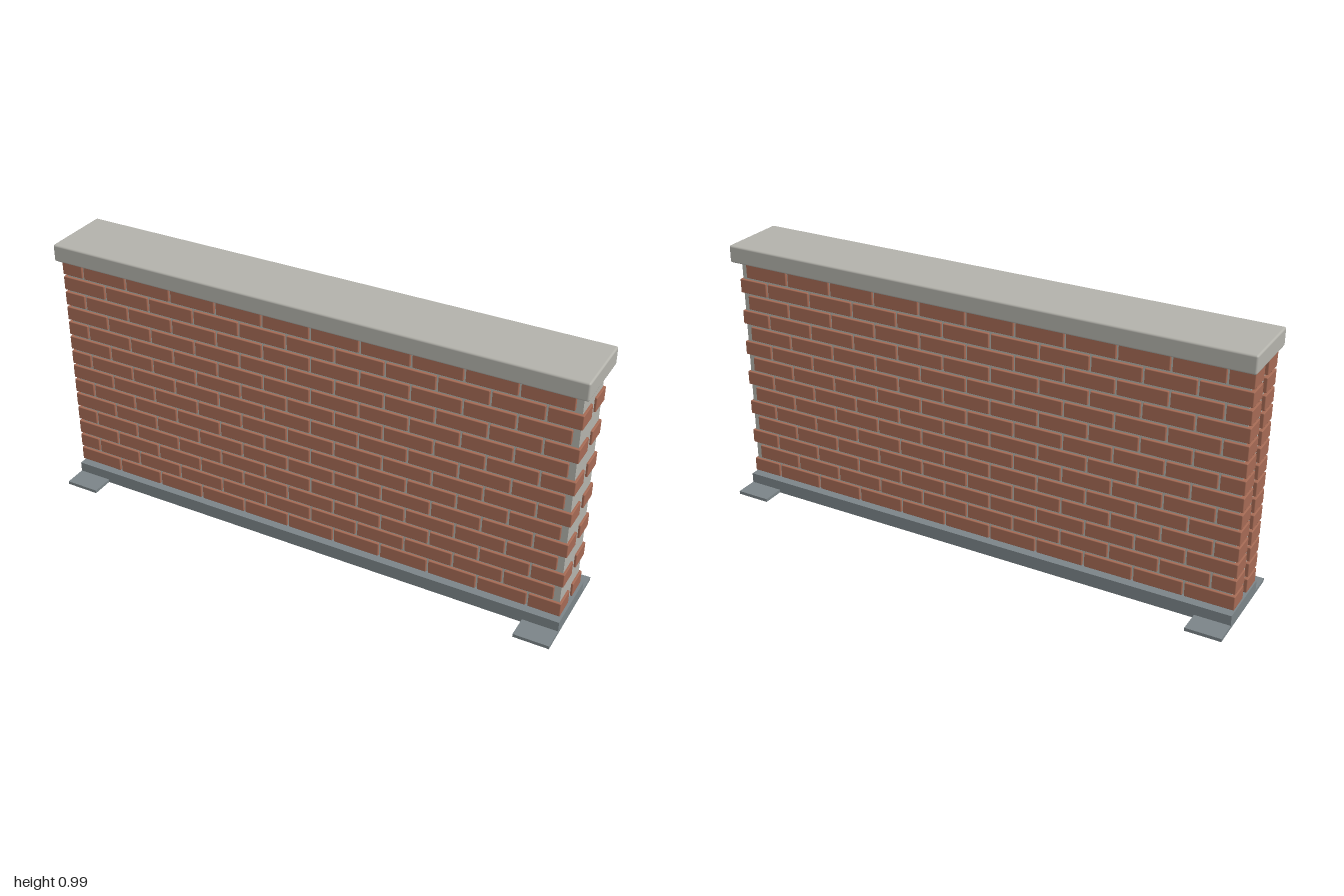
import * as THREE from 'three';
import { RoundedBoxGeometry } from 'three/addons/geometries/RoundedBoxGeometry.js';
import { mergeGeometries } from 'three/addons/utils/BufferGeometryUtils.js';

function material(name, color) {
  const m = new THREE.MeshStandardMaterial({ color });
  m.name = name;
  return m;
}

// Box given by its extents on each axis, with optionally rounded edges
function block([x0, x1], [y0, y1], [z0, z1], radius = 0, segments = 1) {
  const size = [x1 - x0, y1 - y0, z1 - z0];
  const g = radius
    ? new RoundedBoxGeometry(...size, segments, radius)
    : new THREE.BoxGeometry(...size);
  return g.translate((x0 + x1) / 2, (y0 + y1) / 2, (z0 + z1) / 2);
}

export function createModel() {
  const wall = new THREE.Group();
  wall.name = 'brickWall';
  const brick = material('brick red', 0xa56a54);
  const mortar = material('mortar grey', 0xb3b2ab);
  const concrete = material('base grey', 0x7b8488);

  const add = (name, geometry, mat) => {
    const mesh = new THREE.Mesh(geometry, mat);
    mesh.name = name;
    wall.add(mesh);
  };

  // Base plinth and the flat feet crossing under each end
  add('base', block([-0.99, 0.99], [0, 0.05], [-0.121, 0.121]), concrete);
  for (const side of [-1, 1]) {
    const xs = side > 0 ? [0.86, 0.99] : [-0.99, -0.86];
    for (const face of [-1, 1]) {
      const zs = face > 0 ? [0.121, 0.206] : [-0.206, -0.121];
      add('foot', block(xs, [0, 0.012], zs), concrete);
    }
  }

  // Mortar core and coping stone
  add('mortarCore', block([-0.976, 0.976], [0.06, 0.927], [-0.094, 0.094]), mortar);
  add('coping', block([-1, 1], [0.927, 0.992], [-0.131, 0.131], 0.007, 2), mortar);

  // Brick courses in running bond, one leaf on each face
  const left = -0.99, right = 0.984, pitch = 0.1858, joint = 0.008;
  const rowPitch = 0.062, brickHeight = 0.053;
  for (let row = 0; row < 14; row++) {
    const odd = row % 2 === 1;
    const y = 0.06 + row * rowPitch;
    const bricks = [];
    for (let i = 0; i < 11; i++) {
      // Odd courses start with a half brick and stop short of the right end
      const start = odd ? left + Math.max(0, i - 0.5) * pitch : left + i * pitch;
      const length = odd && i === 0 ? pitch / 2 : pitch;
      const end = Math.min(start + length - joint, right);
      for (const zs of [[0.018, 0.103], [-0.103, -0.018]]) {
        bricks.push(block([start, end], [y, y + brickHeight], zs, 0.003));
      }
    }
    add('brickCourse' + (row + 1), mergeGeometries(bricks), brick);
  }
  return wall;
}
